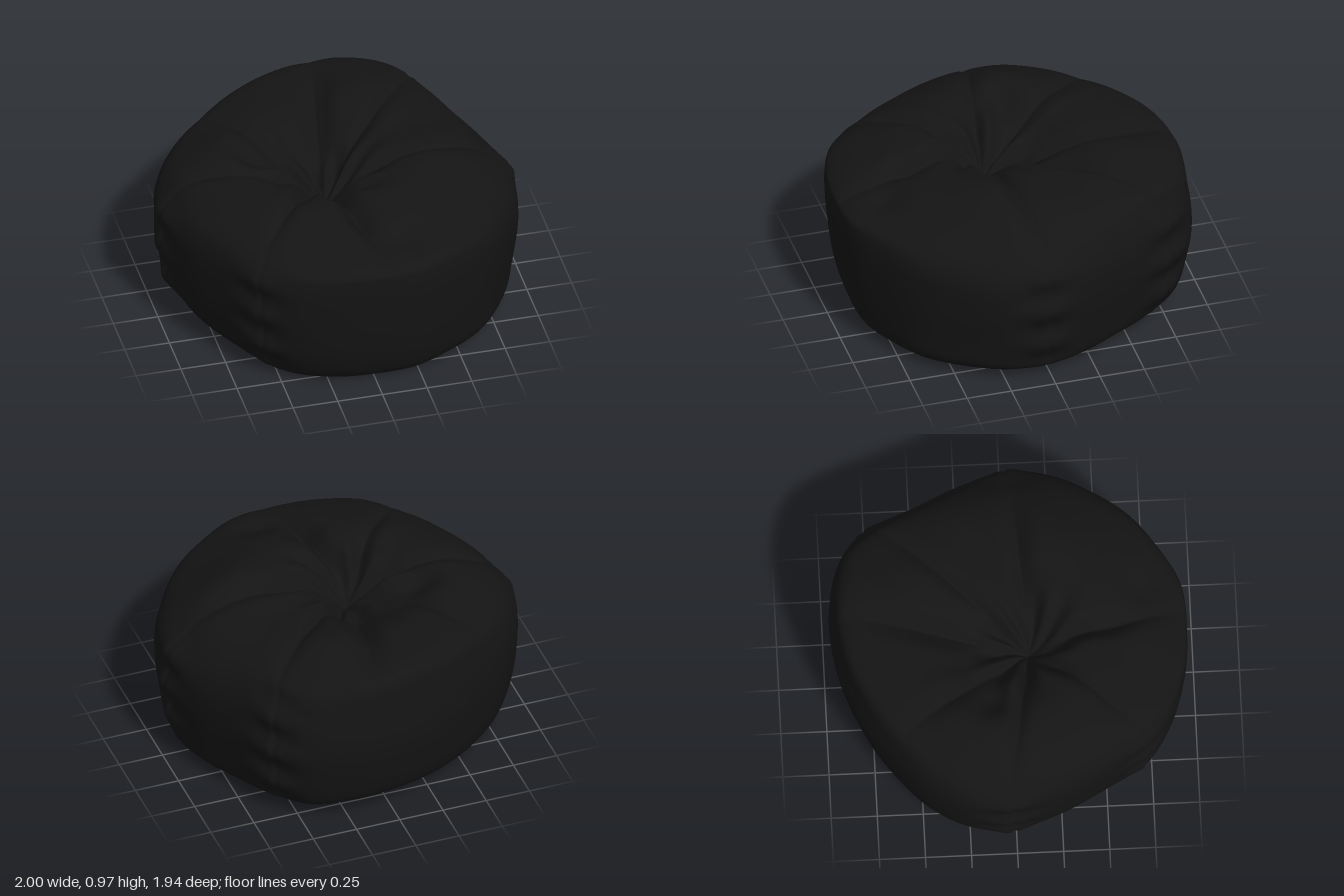
import * as THREE from 'three';

const RAD = Math.PI / 180;
const fabric = new THREE.MeshStandardMaterial({ color: 0x141414 });

// Plan outline: radius every 15 degrees, from +x round towards +z
const OUTLINE = [.985, 1, .98, .975, .965, .98, .965, .975, .985, .95, .93, .95,
  .985, 1, .965, .92, .91, .925, .955, 1, 1.035, .98, .935, .95];

// Half sections [reach, height] from base centre to the pinched top: right, front, left, back
const SECTIONS = [
  [[0, .06], [.5, .06], [.82, .055], [.91, .08], [.945, .22], [.98, .45], [.97, .65], [.86, .8], [.68, .91], [.45, .94], [.25, .88], [.1, .75], [0, .64]],
  [[0, .06], [.4, .03], [.73, .005], [.87, .04], [.945, .2], [.985, .45], [1, .7], [.96, .785], [.72, .86], [.42, .92], [.22, .86], [.1, .75], [0, .64]],
  [[0, .06], [.5, .055], [.78, .045], [.86, .08], [.95, .25], [.985, .45], [.985, .68], [.9, .82], [.7, .91], [.48, .93], [.25, .86], [.1, .75], [0, .64]],
  [[0, .06], [.5, .09], [.82, .115], [.91, .125], [.965, .28], [1, .5], [.98, .72], [.93, .9], [.65, .92], [.4, .88], [.25, .82], [.1, .74], [0, .64]],
].map(s => new THREE.CatmullRomCurve3(s.map(([f, y]) => new THREE.Vector3(f, y, 0)), false, 'catmullrom', .5));

// Seams: angle, valley depth on top, valley width, runs down the side
const SEAMS = [
  [2, .05, .06, true], [86, .06, .06, false], [131, .03, .05, true], [182, .04, .05, true],
  [225, .05, .07, false], [275, .085, .08, false], [311, .04, .05, true],
];

// Padded lumps and hollows on top: angle, reach, height, spread
const LUMPS = [
  [296, .64, .055, .17], [285, .88, .02, .14], [23, .55, .035, .18], [207, .66, .02, .18], [335, .5, -.03, .18],
  [74, .76, -.06, .12], [84, .5, -.05, .13], [205, .42, -.07, .11], [245, .34, -.06, .17],
];

// Gathered pockets under the base: angle, reach
const POCKETS = [[266, .45], [82, .5]];

const gauss = (x, w) => Math.exp(-(x * x) / (w * w));
const wrap = a => Math.atan2(Math.sin(a), Math.cos(a));
const polarGap = (a, f, deg, reach) =>
  Math.hypot(Math.cos(a) * f - Math.cos(deg * RAD) * reach, Math.sin(a) * f - Math.sin(deg * RAD) * reach);

function radiusAt(angle) {
  const n = OUTLINE.length, p = angle / (Math.PI * 2) * n, i = Math.floor(p), t = p - i;
  const [a, b, c, d] = [-1, 0, 1, 2].map(k => OUTLINE[(i + k + 2 * n) % n]);
  return b + .5 * t * (c - a + t * (2 * a - 5 * b + 4 * c - d + t * (3 * (b - c) + d - a)));
}

// Point on the bag: angle around, t from base centre (0) to top pinch (1)
function surfacePoint(angle, t) {
  const q = angle / (Math.PI / 2), k = Math.floor(q), s = THREE.MathUtils.smoothstep(q - k, 0, 1);
  const p = SECTIONS[k % 4].getPoint(t).lerp(SECTIONS[(k + 1) % 4].getPoint(t), s);
  let f = Math.max(p.x, 0), y = p.y;
  const reach = f;
  const top = THREE.MathUtils.smoothstep(t, .52, .72);
  const base = (1 - THREE.MathUtils.smoothstep(t, .12, .22)) * Math.min(1, reach * 5);
  const side = THREE.MathUtils.smoothstep(t, .18, .28) * (1 - THREE.MathUtils.smoothstep(t, .55, .68));

  for (const [deg, depth, width, onSide] of SEAMS) {
    const d = wrap(angle - deg * RAD), inner = Math.min(1, reach * 4);
    // valley drawn in towards the pinch, with a fine stitch line at its bottom
    y -= top * inner * depth * gauss(d * Math.max(reach, .15), width) * (1.2 - reach * .8);
    y -= top * inner * .012 * gauss(d * reach, .018);
    // padded welts beside each valley
    y += top * inner * .012 * gauss(d - .2, .12) * (1 - reach * .6);
    // corner and puckers where panels meet on the side
    if (onSide) {
      f += side * (.012 * gauss(d, .06) + .018 * Math.cos(28 * (p.y - .46)) * gauss(d, .14));
      f -= side * .012 * gauss(d + .02, .018);
    }
  }
  // the two big side panels roll over softly at the shoulder and belly out low down
  for (const deg of [45, 225]) {
    const d = gauss(wrap(angle - deg * RAD), .5);
    y -= top * .025 * d * gauss(reach - .87, .15);
    f += .025 * d * gauss(t - .27, .07);
  }
  for (const [deg, at, height, spread] of LUMPS)
    y += top * height * gauss(polarGap(angle, reach, deg, at), spread);
  for (const [deg, at] of POCKETS) {
    const d = wrap(angle - deg * RAD);
    y += base * gauss(polarGap(angle, reach, deg, at), .23) * (.06 + .012 * Math.cos(d * 14));
  }
  // gathered folds near the pinch
  y += .025 * Math.sin(angle * 9 + reach * 9) * gauss(reach - .2, .14) * Math.min(1, reach * 8) * top;

  // the gather sits off centre
  const pull = top * (1 - Math.min(reach, 1)), r = radiusAt(angle) * f;
  return [Math.cos(angle) * r - .1 * pull, Math.max(y, 0), Math.sin(angle) * r + .1 * pull];
}

// Closed skin from rings of points
function bagGeometry(around = 360, rows = 110) {
  const pos = [], index = [];
  for (let j = 0; j <= rows; j++)
    for (let i = 0; i < around; i++) pos.push(...surfacePoint(i / around * Math.PI * 2, j / rows));
  for (let j = 0; j < rows; j++)
    for (let i = 0; i < around; i++) {
      const a = j * around + i, b = j * around + (i + 1) % around;
      if (j < rows - 1) index.push(a, a + around, b + around);
      if (j > 0) index.push(a, b + around, b);
    }
  const g = new THREE.BufferGeometry();
  g.setAttribute('position', new THREE.Float32BufferAttribute(pos, 3));
  g.setIndex(index);
  g.computeVertexNormals();
  return g;
}

export function createModel() {
  const group = new THREE.Group();
  group.name = 'beanBag';
  const bag = new THREE.Mesh(bagGeometry(), fabric);
  bag.name = 'paddedBag';
  group.add(bag);
  return group;
}
